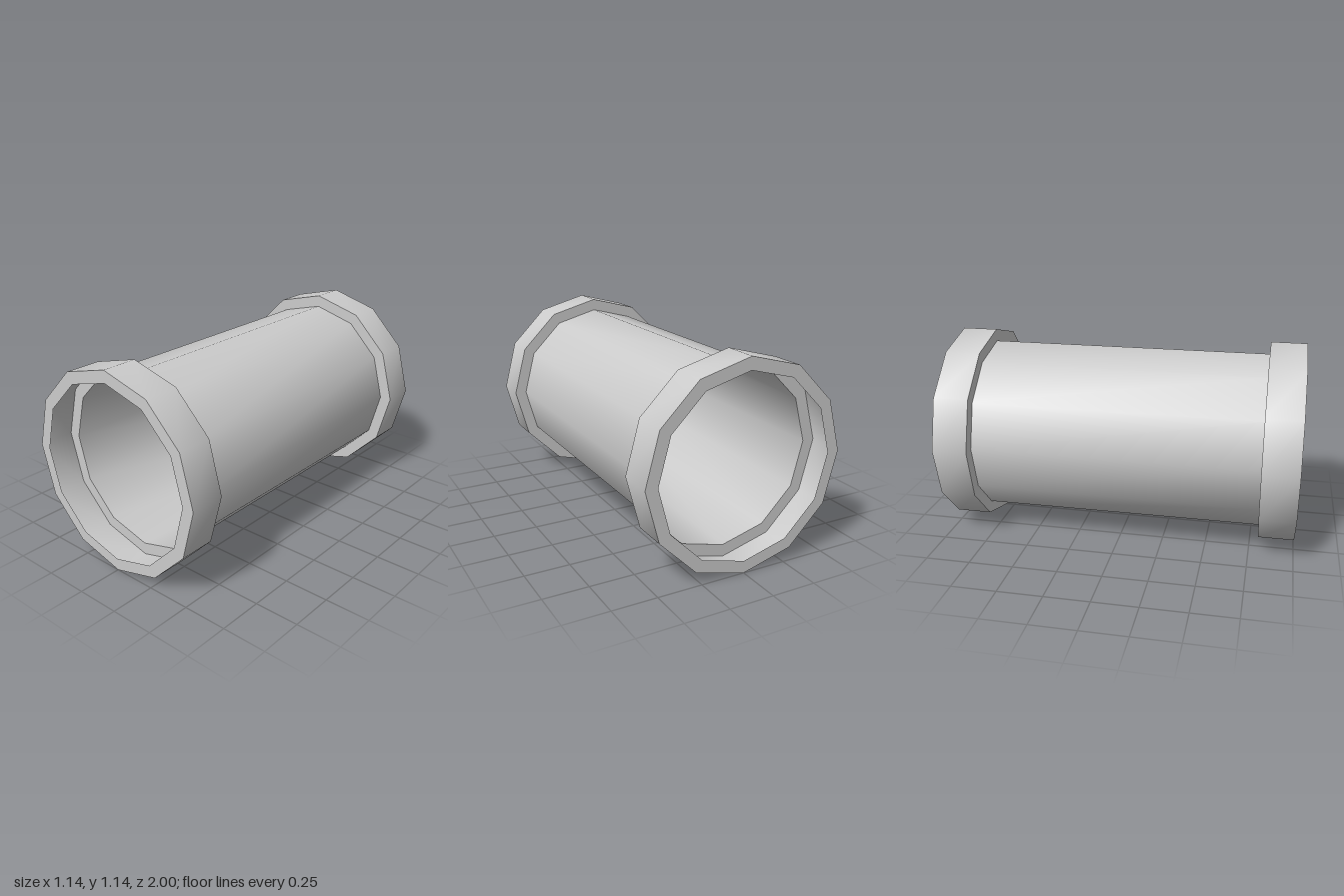
import * as THREE from 'three';
import { toCreasedNormals } from 'three/addons/utils/BufferGeometryUtils.js';

const SIDES = 12;
const TUBE_R = 0.5;
const COLLAR_R = 0.569;
const HALF = 1;
const COLLAR_START = 0.8;

// Twelve-sided shell turned around the z axis; profile points are [radius, z]
function turned(name, profile, material) {
  const points = profile.map(([r, z]) => new THREE.Vector2(r, z));
  const lathe = new THREE.LatheGeometry(points, SIDES).rotateX(Math.PI / 2);
  const mesh = new THREE.Mesh(toCreasedNormals(lathe, Math.PI / 4), material);
  mesh.name = name;
  mesh.position.y = COLLAR_R;
  return mesh;
}

export function createModel() {
  const group = new THREE.Group();
  group.name = 'pipe';
  const material = new THREE.MeshStandardMaterial({ color: 0xcccccc, side: THREE.DoubleSide });

  // Thin open tube between the collars
  group.add(turned('tube', [[TUBE_R, -COLLAR_START], [TUBE_R, COLLAR_START]], material));

  // Flanged collars: shoulder, outer wall and end lip, hollow on the inside
  const collar = [[TUBE_R, COLLAR_START], [COLLAR_R, COLLAR_START], [COLLAR_R, HALF], [TUBE_R, HALF]];
  group.add(turned('frontCollar', collar, material));
  group.add(turned('backCollar', collar.map(([r, z]) => [r, -z]).reverse(), material));

  return group;
}
